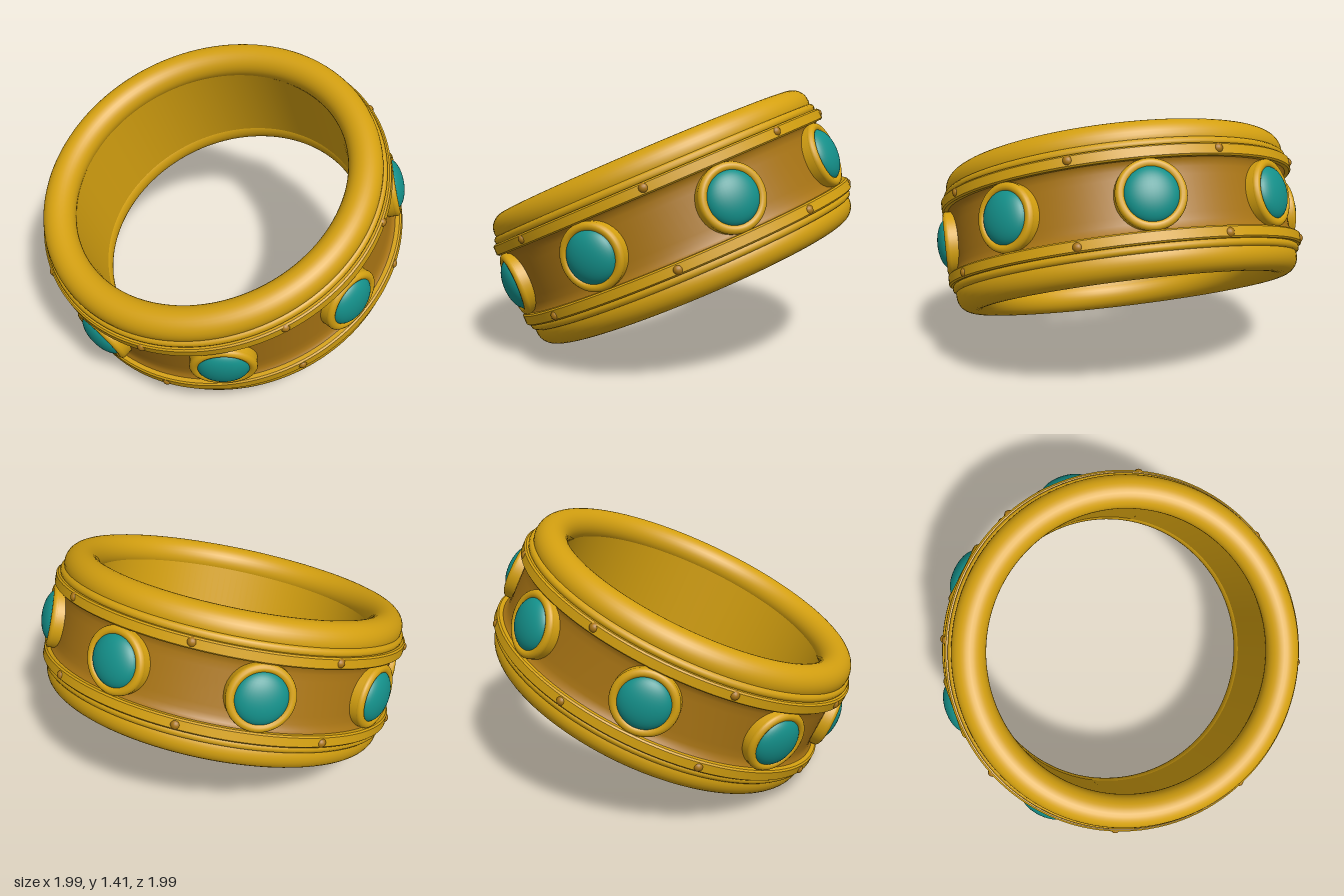
import * as THREE from 'three';
import { toCreasedNormals } from 'three/addons/utils/BufferGeometryUtils.js';

const SEG = 128;
const GEMS = 8;

export function createModel() {
  const gold = new THREE.MeshStandardMaterial({ color: 0xd4a010 });
  gold.name = 'gold';
  const darkGold = new THREE.MeshStandardMaterial({ color: 0xa87414 });
  darkGold.name = 'dark gold';
  const teal = new THREE.MeshStandardMaterial({ color: 0x14908a });
  teal.name = 'teal';

  const model = new THREE.Group();
  model.name = 'jewelledRing';
  const ring = new THREE.Group();
  ring.name = 'tiltedRing';
  ring.position.y = 0.705;
  ring.rotation.set(0.3, 0, 0.3);
  model.add(ring);

  const add = (parent, name, geometry, material) => {
    const mesh = new THREE.Mesh(geometry, material);
    mesh.name = name;
    parent.add(mesh);
    return mesh;
  };
  // Profile points are [radius, height], rising on outer faces
  const lathe = (points) =>
    new THREE.LatheGeometry(points.map(([r, h]) => new THREE.Vector2(r, h)), SEG);
  const hoop = (radius, tube, sides) =>
    new THREE.TorusGeometry(radius, tube, sides, SEG).rotateX(Math.PI / 2);

  // Smooth inner wall
  add(ring, 'innerWall', lathe([[0.77, 0.27], [0.77, -0.27]]), gold);

  // Recessed outer band, filleted towards the rims
  add(ring, 'recessedBand', lathe([
    [0.945, -0.176], [0.928, -0.16], [0.922, -0.13], [0.92, -0.09],
    [0.92, 0.09], [0.922, 0.13], [0.928, 0.16], [0.945, 0.176],
  ]), darkGold);

  // Mirrored edge mouldings
  for (const side of [1, -1]) {
    const label = side > 0 ? 'upper' : 'lower';
    add(ring, label + 'EdgeRoll', hoop(0.85, 0.09, 32), gold).position.y = side * 0.293;
    add(ring, label + 'Bead', hoop(0.932, 0.024, 12), gold).position.y = side * 0.25;
    const [low, high] = side > 0 ? [0.172, 0.235] : [-0.235, -0.172];
    const rim = lathe([
      [0.88, low], [0.964, low], [0.973, low + 0.008],
      [0.973, high - 0.008], [0.964, high], [0.88, high],
    ]);
    add(ring, label + 'Rim', toCreasedNormals(rim, 0.5), gold);
  }

  // Shared setting parts, with local +z pointing outward from the ring
  const cupGeo = new THREE.CylinderGeometry(0.174, 0.174, 0.09, 48).rotateX(Math.PI / 2);
  const bezelGeo = new THREE.TorusGeometry(0.151, 0.024, 14, 48);
  const gemGeo = new THREE.SphereGeometry(0.138, 40, 24);
  const studGeo = new THREE.SphereGeometry(0.026, 16, 12);

  for (let i = 0; i < GEMS; i++) {
    const angle = 0.1 + (i / GEMS) * Math.PI * 2;
    const setting = new THREE.Group();
    setting.name = 'gemSetting';
    setting.rotation.y = Math.PI / 2 - angle;
    ring.add(setting);
    add(setting, 'settingCup', cupGeo, gold).position.z = 0.903;
    add(setting, 'bezel', bezelGeo, gold).position.z = 0.95;
    const gem = add(setting, 'gem', gemGeo, teal);
    gem.position.z = 0.948;
    gem.scale.z = 0.48;

    // Tiny studs on both rims, midway between the gems
    const mid = angle + Math.PI / GEMS;
    for (const side of [1, -1]) {
      const stud = add(ring, 'rimStud', studGeo, darkGold);
      stud.position.set(0.96 * Math.cos(mid), side * 0.208, 0.96 * Math.sin(mid));
    }
  }
  return model;
}
